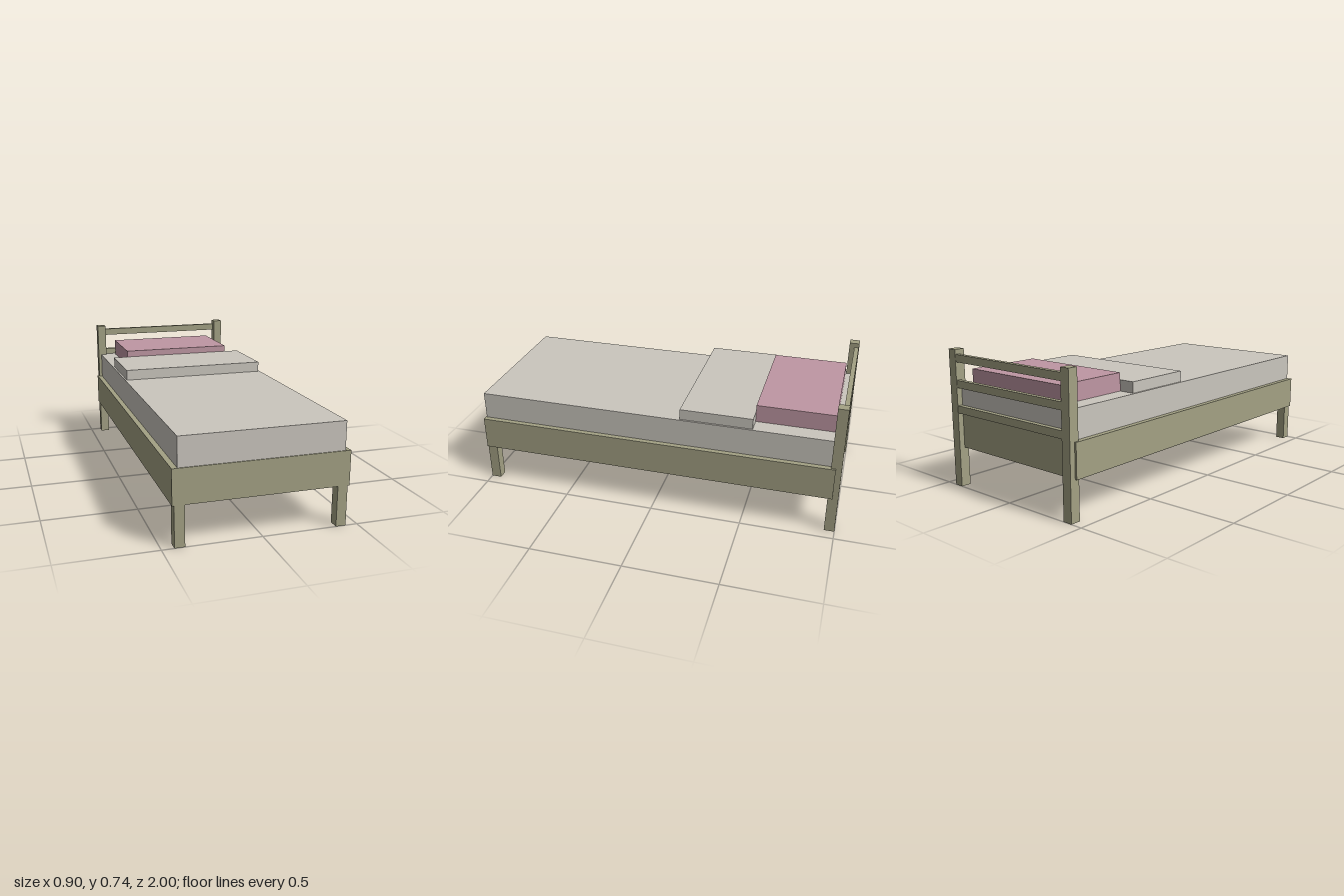
import * as THREE from 'three';

export function createModel() {
  const bed = new THREE.Group();
  bed.name = 'singleBed';

  const material = (name, color) => {
    const m = new THREE.MeshStandardMaterial({ color });
    m.name = name;
    return m;
  };
  const wood = material('oliveWood', 0xa3a184);
  const linen = material('paleLinen', 0xcac6be);
  const pink = material('dustyPink', 0xbf97a3);

  // Box given by its extents along each axis
  const box = (name, mat, [x0, x1], [y0, y1], [z0, z1]) => {
    const mesh = new THREE.Mesh(new THREE.BoxGeometry(x1 - x0, y1 - y0, z1 - z0), mat);
    mesh.position.set((x0 + x1) / 2, (y0 + y1) / 2, (z0 + z1) / 2);
    mesh.name = name;
    bed.add(mesh);
  };

  // Base and bedding
  box('bedFrame', wood, [-0.448, 0.448], [0.21, 0.39], [-0.97, 1]);
  box('mattress', linen, [-0.42, 0.42], [0.39, 0.54], [-0.97, 0.995]);
  box('foldedBlanket', linen, [-0.41, 0.41], [0.54, 0.598], [-0.53, -0.14]);
  box('pillow', pink, [-0.325, 0.325], [0.54, 0.635], [-0.942, -0.53]);

  // Headboard posts and front legs, mirrored
  for (const [side, x] of [['left', [0.386, 0.438]], ['right', [-0.438, -0.386]]]) {
    box(side + 'HeadPost', wood, x, [0, 0.735], [-1, -0.945]);
    box(side + 'FrontLeg', wood, x, [0, 0.21], [0.945, 1]);
  }

  // Headboard rails between the posts
  [0.69, 0.555, 0.42].forEach((y, i) =>
    box('headRail' + (i + 1), wood, [-0.386, 0.386], [y - 0.02, y + 0.02], [-0.998, -0.973]));

  return bed;
}
